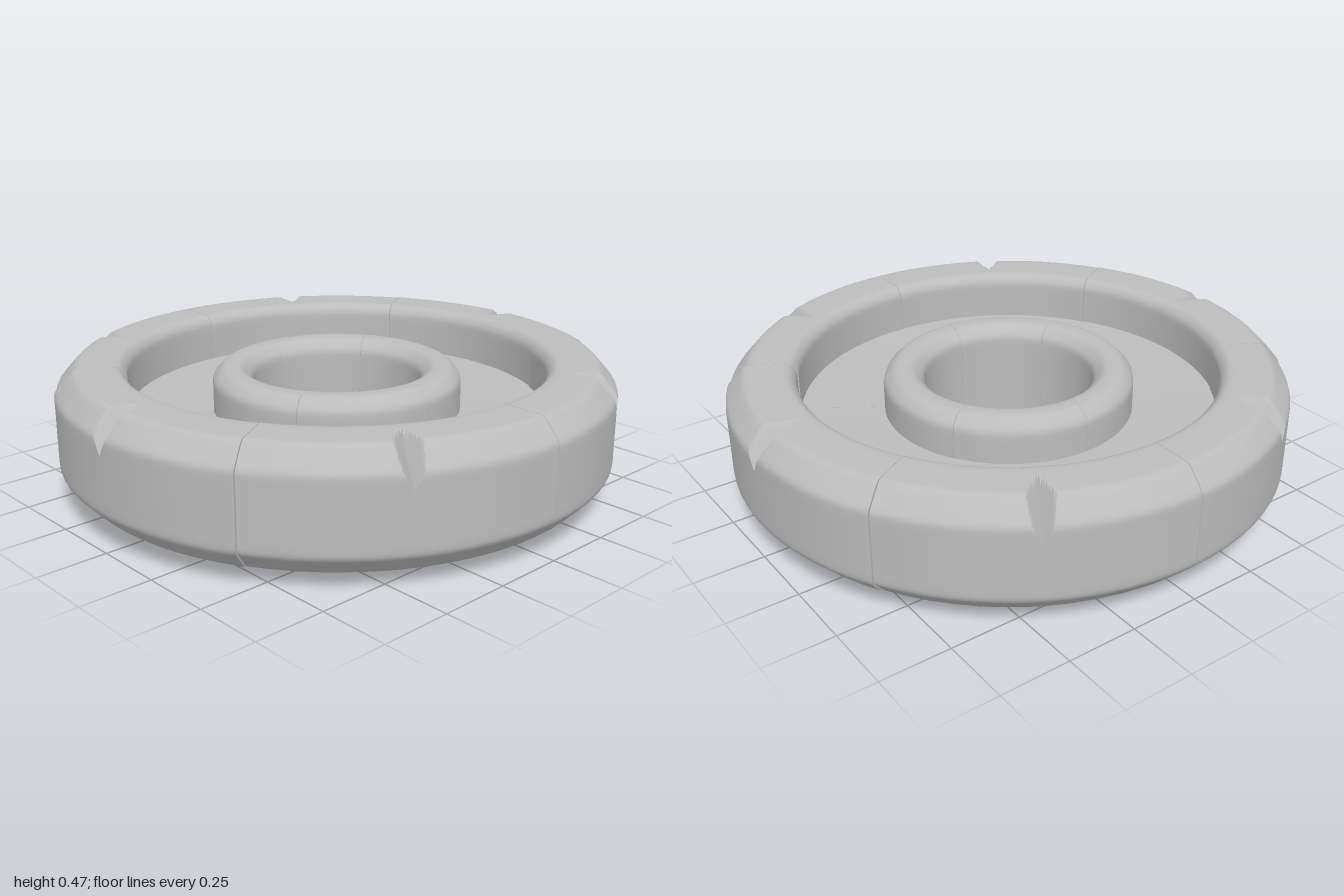
import * as THREE from 'three';
import { toCreasedNormals } from 'three/addons/utils/BufferGeometryUtils.js';

const SECTORS = 6;
const STEP = (Math.PI * 2) / SECTORS;

// Closed [radius, height] outline, counter-clockwise, with softened corners and subdivided edges
function softOutline(corners, soft) {
  const pts = corners.map(([r, y]) => new THREE.Vector2(r, y));
  const n = pts.length;
  const out = [];
  pts.forEach((p, i) => {
    const prev = pts[(i + n - 1) % n];
    const next = pts[(i + 1) % n];
    const towards = (q) => p.clone().lerp(q, Math.min(0.4, soft / p.distanceTo(q)));
    out.push(...new THREE.QuadraticBezierCurve(towards(prev), p, towards(next)).getPoints(3));
    const a = out[out.length - 1];
    const b = next.clone().lerp(p, Math.min(0.4, soft / p.distanceTo(next)));
    const cuts = Math.ceil(a.distanceTo(b) / 0.02);
    for (let k = 1; k < cuts; k++) out.push(a.clone().lerp(b, k / cuts));
  });
  return out;
}

// Angles across one block, packed closer together around the middle
function blockAngles(gap) {
  const half = STEP / 2 - gap;
  const side = [0.12, 0.2, 0.28, 0.36, 0.44, half];
  for (let a = 0.084; a > 0.005; a -= 0.007) side.unshift(a);
  return [...side.map((a) => -a).reverse(), 0, ...side];
}

// One solid wedge of a ring, swept from the outline and capped at both ends
function wedge(outline, gap, centre, scale, carve) {
  const angles = blockAngles(gap);
  const n = outline.length;
  const pos = [];
  const index = [];
  for (const a of angles) {
    for (const p of outline) {
      const y = carve ? carve(p.x, p.y, a) : p.y;
      const r = p.x * scale;
      pos.push(r * Math.sin(centre + a), y, r * Math.cos(centre + a));
    }
  }
  const last = (angles.length - 1) * n;
  for (let i = 0; i < last; i += n) {
    for (let j = 0; j < n; j++) {
      const k = (j + 1) % n;
      index.push(i + j, i + n + j, i + n + k, i + j, i + n + k, i + k);
    }
  }
  for (const [a, b, c] of THREE.ShapeUtils.triangulateShape(outline, [])) {
    index.push(a, b, c, last + a, last + c, last + b);
  }
  const geo = new THREE.BufferGeometry();
  geo.setAttribute('position', new THREE.Float32BufferAttribute(pos, 3));
  geo.setIndex(index);
  return toCreasedNormals(geo, 0.6);
}

// V-shaped cut in the top of a rim block, deepest at the outer wall
function carveNotch(r, y, a) {
  if (r < 0.82 || y < 0.3) return y;
  const floor = 0.465 - (0.135 * (r - 0.83)) / 0.17;
  return Math.min(y, floor + Math.abs(a) * r * 1.8);
}

export function createModel() {
  const model = new THREE.Group();
  model.name = 'stoneWheel';
  const stone = new THREE.MeshStandardMaterial({ color: 0xbcbcbc });
  stone.name = 'grey stone';

  const addRing = (name, corners, soft, gap, carve) => {
    const ring = new THREE.Group();
    ring.name = name;
    const outline = softOutline(corners, soft);
    for (let s = 0; s < SECTORS; s++) {
      // front and back blocks stand slightly proud of the others
      const scale = s % 3 === 0 ? 1 : 0.994;
      const mesh = new THREE.Mesh(wedge(outline, gap, s * STEP, scale, carve), stone);
      mesh.name = name + 'Block' + (s + 1);
      ring.add(mesh);
    }
    model.add(ring);
  };

  // Heavy bevelled outer rim with a notch in each block
  addRing('rim', [
    [0.925, 0.05], [1.0, 0.128], [1.0, 0.39], [0.932, 0.465],
    [0.777, 0.465], [0.752, 0.435], [0.752, 0.095], [0.79, 0.05],
  ], 0.016, 0.001, carveNotch);

  // Recessed disc between the rim and the hub
  addRing('web', [
    [0.43, 0.115], [0.77, 0.125], [0.77, 0.288], [0.43, 0.275],
  ], 0.004, 0.0004);

  // Rounded hub around the axle hole, standing proud below
  addRing('hub', [
    [0.405, 0], [0.45, 0.04], [0.45, 0.393], [0.41, 0.433],
    [0.345, 0.433], [0.306, 0.393], [0.306, 0.04], [0.345, 0],
  ], 0.018, 0.001);

  return model;
}
